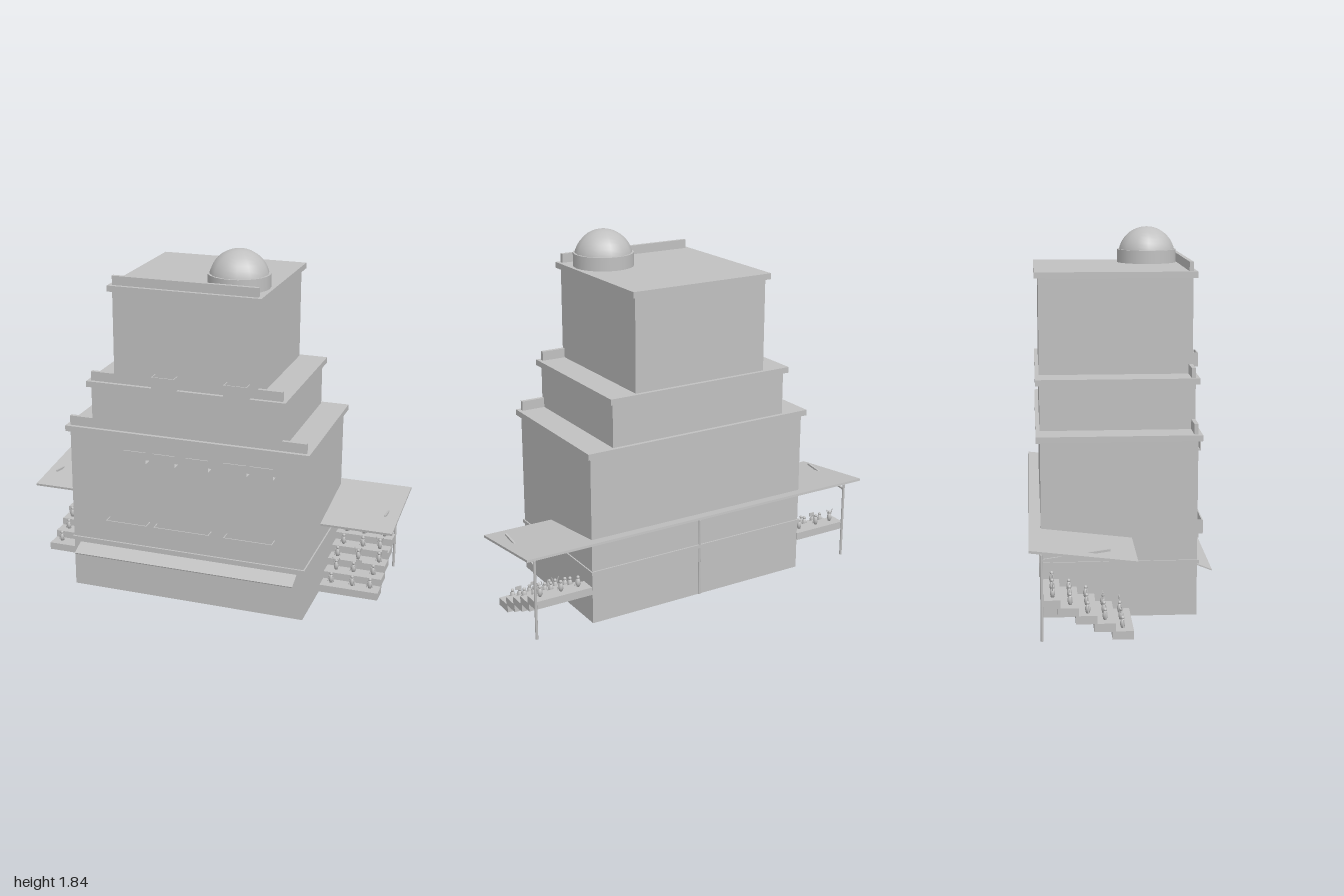
import * as THREE from 'three';

const grey = new THREE.MeshStandardMaterial({ color: 0xc0c0c0 });
grey.name = 'plain grey';

function add(parent, name, geometry, x, y, z) {
  const mesh = new THREE.Mesh(geometry, grey);
  mesh.name = name;
  mesh.position.set(x, y, z);
  parent.add(mesh);
  return mesh;
}

// Box given by its extents on each axis
function block(parent, name, x0, x1, y0, y1, z0, z1) {
  return add(parent, name, new THREE.BoxGeometry(x1 - x0, y1 - y0, z1 - z0),
    (x0 + x1) / 2, (y0 + y1) / 2, (z0 + z1) / 2);
}

function subgroup(parent, name) {
  const g = new THREE.Group();
  g.name = name;
  parent.add(g);
  return g;
}

// Balcony: floor, front panel, optional end panels, and brackets below
function balcony(parent, x0, x1, y, ends, brackets) {
  const g = subgroup(parent, 'balcony');
  block(g, 'balconyFloor', x0, x1, y, y + 0.008, 0.365, 0.425);
  block(g, 'balconyPanel', x0, x1, y, y + 0.07, 0.419, 0.425);
  if (ends) {
    block(g, 'balconyEnd', x0, x0 + 0.005, y, y + 0.07, 0.365, 0.42);
    block(g, 'balconyEnd', x1 - 0.005, x1, y, y + 0.07, 0.365, 0.42);
  }
  for (const bx of brackets) {
    block(g, 'balconyBracket', bx - 0.008, bx + 0.008, y - 0.024, y, 0.365, 0.405);
  }
}

// Spectator shapes
const bodyGeo = new THREE.LatheGeometry(
  [[0, 0], [0.008, 0], [0.012, 0.015], [0.012, 0.028], [0.006, 0.042], [0, 0.044]]
    .map(([r, y]) => new THREE.Vector2(r, y)), 8);
const headGeo = new THREE.SphereGeometry(0.009, 8, 6);
const armGeo = new THREE.CylinderGeometry(0.0025, 0.0025, 0.036, 5);

function spectator(parent, x, y, z, armsUp, flag) {
  const g = subgroup(parent, 'spectator');
  g.position.set(x, y, z);
  add(g, 'body', bodyGeo, 0, 0, 0);
  add(g, 'head', headGeo, 0, 0.049, 0);
  for (const s of [-1, 1]) {
    if (armsUp) add(g, 'arm', armGeo, s * 0.014, 0.05, 0).rotation.z = -s * 0.3;
    else add(g, 'arm', armGeo, s * 0.012, 0.022, 0.003).rotation.z = s * 0.2;
  }
  if (flag) {
    add(g, 'flagPole', new THREE.CylinderGeometry(0.0015, 0.0015, 0.045, 5), 0.015, 0.05, 0);
    block(g, 'flag', 0.015, 0.045, 0.055, 0.073, -0.002, 0.002);
  }
}

export function createModel() {
  const model = new THREE.Group();
  model.name = 'steppedBuilding';

  // Three storeys stepping inwards, each with a roof ledge and front parapet
  const tiers = [[0.625, 0, 0.87, 0.95], [0.5, 0.9, 1.122, 1.2], [0.373, 1.152, 1.624, 1.7]];
  for (const [w, y0, y1, top] of tiers) {
    block(model, 'storey', -w, w, y0, y1, -0.385, 0.37);
    block(model, 'roofLedge', -w - 0.02, w + 0.02, y1, y1 + 0.03, -0.405, 0.39);
    block(model, 'parapet', -w, w, y1 + 0.03, top, 0.35, 0.37);
  }
  block(model, 'wallBand', -0.632, 0.632, 0.262, 0.28, -0.393, 0.38);

  // Sloping awning over the ground floor
  const awning = add(model, 'awning', new THREE.BoxGeometry(1.18, 0.006, 0.085), 0, 0.23, 0.4075);
  awning.rotation.x = 0.38;

  // Roof dome on a round collar
  add(model, 'domeCollar', new THREE.CylinderGeometry(0.155, 0.155, 0.07, 24), 0.22, 1.687, 0.193);
  add(model, 'dome', new THREE.SphereGeometry(0.15, 14, 10, 0, Math.PI * 2, 0, Math.PI / 2),
    0.22, 1.69, 0.193);

  // Balconies: top pair, middle row of five, lower row of long ones
  for (const x of [-0.155, 0.218]) {
    balcony(model, x, x + 0.12, 1.152, true, [x + 0.025, x + 0.095]);
  }
  for (const x of [-0.31, -0.155, 0.022, 0.22, 0.355]) {
    balcony(model, x, x + 0.118, 0.75, false, [x + 0.022, x + 0.096]);
  }
  balcony(model, -0.417, -0.193, 0.348, true, [-0.395, -0.325, -0.295, -0.22]);
  balcony(model, -0.155, 0.143, 0.348, true, [-0.133, -0.06, 0.043, 0.12]);
  balcony(model, 0.22, 0.475, 0.348, true, [0.24, 0.315, 0.38, 0.45]);

  // Tilted canopy running behind the building and over both stands
  const canopy = add(model, 'canopy', new THREE.BoxGeometry(2, 0.012, 0.5), 0, 0.42, -0.196);
  canopy.rotation.x = 0.12;
  for (const x of [-0.935, 0, 0.935]) {
    add(model, 'canopyPost', new THREE.CylinderGeometry(0.007, 0.007, 0.415, 10), x, 0.2075, -0.386);
    const beam = add(model, 'canopyBeam', new THREE.BoxGeometry(0.01, 0.01, 0.318), x, 0.411, -0.2275);
    beam.rotation.x = -0.139;
  }

  // Stepped stands with spectators on each side
  for (const side of [-1, 1]) {
    const stand = subgroup(model, side > 0 ? 'leftStand' : 'rightStand');
    for (let i = 0; i < 5; i++) {
      const front = 0.04 - i * 0.085;
      const top = 0.04 + i * 0.039;
      const back = Math.max(front - 0.1, -0.385);
      const step = block(stand, 'step', -0.155, 0.155, top - 0.04, top, back, front);
      step.position.x = side * 0.782;
      for (let j = 0; j < 3; j++) {
        const x = side * 0.782 + (j - 1) * 0.105 + 0.008 * Math.sin(i * 2.3 + j * 1.7);
        const pick = (i * 2 + j * 3 + (side > 0 ? 1 : 0)) % 5;
        spectator(stand, x, top, -0.01 - i * 0.0815, pick === 3, pick === 1 && j > 0);
      }
    }
  }
  return model;
}
